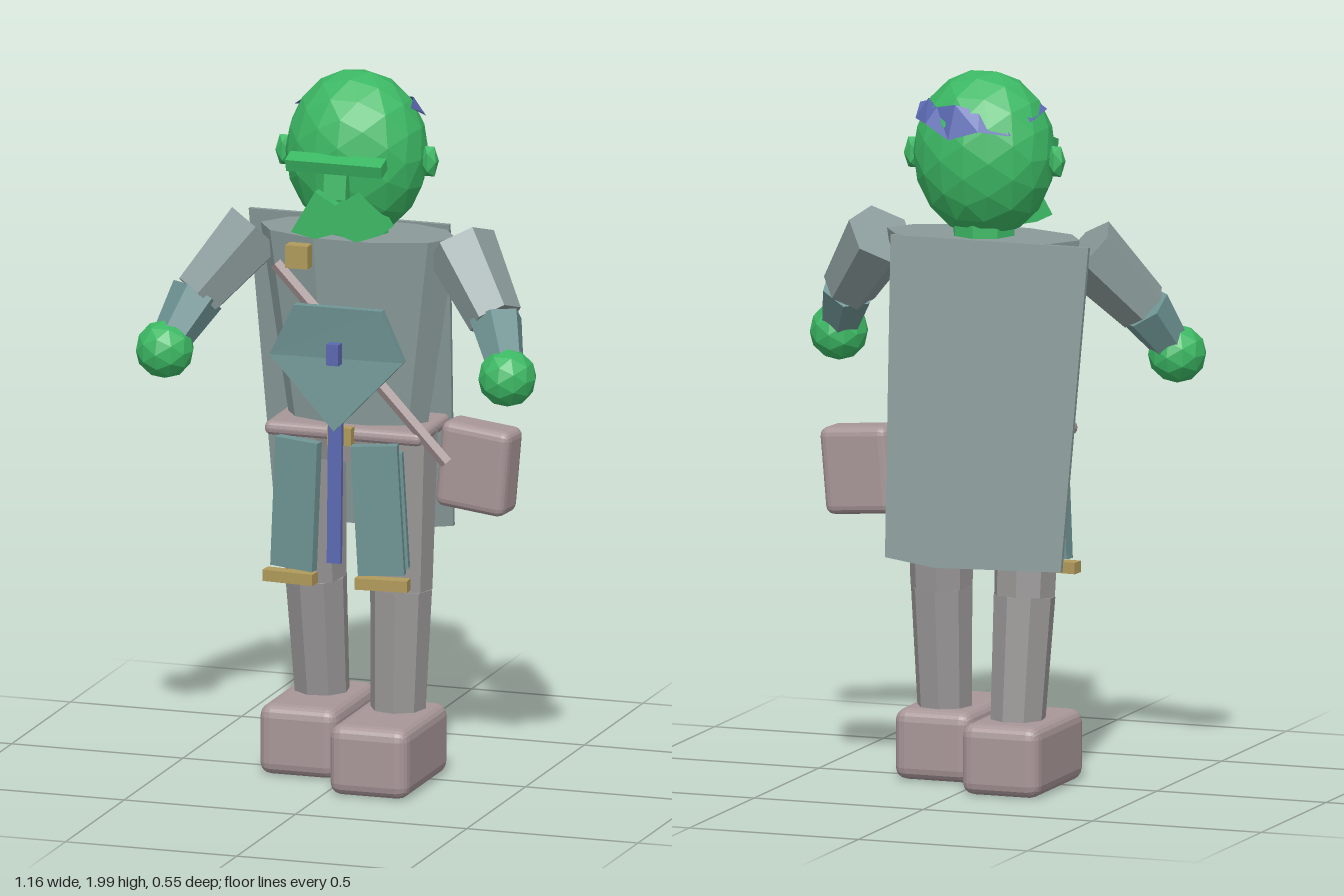
import * as THREE from 'three';
import { RoundedBoxGeometry } from 'three/addons/geometries/RoundedBoxGeometry.js';

const mat = (color) => new THREE.MeshStandardMaterial({ color, flatShading: true, side: THREE.DoubleSide });
const V = (p) => new THREE.Vector3(...p);

export function createModel() {
  const root = new THREE.Group();
  const skin = mat(0x3cb864), cloth = mat(0x8a9a9a), trousers = mat(0x999696), leather = mat(0xa89698);
  const teal = mat(0x6f9494), blue = mat(0x5a68b0), gold = mat(0xb09a5a);

  const add = (name, geo, material, pos = [0, 0, 0], rot = [0, 0, 0]) => {
    const m = new THREE.Mesh(geo, material);
    m.name = name;
    m.position.set(...pos);
    m.rotation.set(...rot);
    root.add(m);
    return m;
  };
  const box = (w, h, d) => new THREE.BoxGeometry(w, h, d);
  const rounded = (w, h, d, r) => new RoundedBoxGeometry(w, h, d, 2, r);
  // Tapered prism running from a to b
  const limb = (name, a, b, ra, rb, sides, material) => {
    const from = V(a), to = V(b), dir = to.clone().sub(from);
    const m = add(name, new THREE.CylinderGeometry(rb, ra, dir.length(), sides), material);
    m.position.copy(from).add(to).multiplyScalar(0.5);
    m.quaternion.setFromUnitVectors(new THREE.Vector3(0, 1, 0), dir.normalize());
    return m;
  };
  const plate = (pts, depth) => new THREE.ExtrudeGeometry(
    new THREE.Shape(pts.map((p) => new THREE.Vector2(...p))), { depth, bevelEnabled: false });
  // Moves each vertex's z by a rule
  const bend = (geo, rule) => {
    const p = geo.attributes.position;
    for (let i = 0; i < p.count; i++) p.setZ(i, p.getZ(i) + rule(p.getX(i), p.getY(i)));
    geo.computeVertexNormals();
    return geo;
  };

  // Head and face
  const head = add('head', new THREE.IcosahedronGeometry(1, 2), skin, [0, 1.765, -0.025]);
  head.scale.set(0.202, 0.235, 0.172);
  add('neck', new THREE.CylinderGeometry(0.09, 0.09, 0.12, 8), skin, [0, 1.55, -0.03]);
  add('brow', box(0.28, 0.035, 0.05), skin, [0, 1.77, 0.153], [0.3, 0, 0]);
  add('nose', box(0.065, 0.09, 0.06), skin, [0, 1.715, 0.135], [-0.15, 0, 0]);
  add('moustache', plate([[-0.13, 1.57], [-0.06, 1.69], [0, 1.655], [0.06, 1.69], [0.13, 1.58],
    [0.06, 1.555], [0, 1.575], [-0.06, 1.555]], 0.12), skin, [0, 0, 0.04]);
  for (const s of [-1, 1]) {
    const ear = add('ear', new THREE.IcosahedronGeometry(1, 0), skin, [s * 0.212, 1.755, -0.025]);
    ear.scale.set(0.026, 0.05, 0.026);
  }

  // Zigzag headband round the back of the head
  const ribbon = [], index = [], n = 7;
  for (let i = 0; i <= n; i++) {
    const t = i / n, a = THREE.MathUtils.lerp(-1.72, 1.6, t);
    const drop = 0.025 + 0.07 * Math.sin(Math.PI * t) * (i % 2 ? 0.6 : 1);
    const x = Math.sin(a), z = -Math.cos(a);
    ribbon.push(0.15 * x + 0.01, 1.92 - (i % 2) * 0.015, -0.02 + 0.14 * z);
    ribbon.push(0.185 * x + 0.01, 1.92 - drop, -0.02 + 0.18 * z);
    if (i < n) index.push(2 * i, 2 * i + 1, 2 * i + 2, 2 * i + 1, 2 * i + 3, 2 * i + 2);
  }
  const band = new THREE.BufferGeometry();
  band.setAttribute('position', new THREE.Float32BufferAttribute(ribbon, 3));
  band.setIndex(index);
  band.computeVertexNormals();
  add('headband', band, blue);

  // Torso and belt
  const torso = add('torso', new THREE.CylinderGeometry(0.285, 0.2, 0.56, 10, 1, false, Math.PI / 2),
    cloth, [0, 1.26, -0.035]);
  torso.scale.z = 0.48;
  const hips = add('hips', new THREE.CylinderGeometry(0.2, 0.17, 0.1, 10, 1, false, Math.PI / 2),
    trousers, [0, 0.95, -0.035]);
  hips.scale.z = 0.55;
  add('belt', rounded(0.46, 0.04, 0.26, 0.018), leather, [0, 0.99, -0.025]);

  // Arms and hands
  for (const s of [-1, 1]) {
    const elbow = [s * 0.435, 1.345, 0.065], hand = [s * 0.5, 1.205, 0.155];
    limb('upperArm', [s * 0.3, 1.52, -0.035], elbow, 0.1, 0.077, 6, cloth);
    limb('forearm', elbow, hand, 0.077, 0.05, 6, teal);
    add('hand', new THREE.IcosahedronGeometry(0.082, 1), skin, hand);
  }

  // Legs in mid-stride, left foot forward
  for (const [s, hipZ, kneeZ, ankleZ, footZ] of [[1, -0.02, 0.0, 0.015, 0.087], [-1, -0.03, -0.075, -0.12, -0.073]]) {
    const knee = [s * 0.137, 0.54, kneeZ];
    limb('thigh', [s * 0.135, 1.0, hipZ], knee, 0.098, 0.087, 8, trousers);
    limb('shin', knee, [s * 0.132, 0.15, ankleZ], 0.087, 0.076, 8, trousers);
    add('shoe', rounded(0.23, 0.2, 0.375, 0.035), leather, [s * 0.13, 0.103, footZ]);
  }

  // Cape leaning away from the back
  add('cape', bend(plate([[-0.36, 1.545], [0.225, 1.545], [0.2, 0.66], [0.055, 0.64], [-0.32, 0.65]], 0.014),
    (x, y) => -0.165 + (y - 1.545) * 0.122), cloth);

  // Chest plate with a small emblem stud
  add('chestPlate', bend(plate([[-0.12, 1.365], [0.135, 1.365], [0.195, 1.22], [0, 1.015], [-0.195, 1.215]], 0.025),
    (x) => 0.15 - 0.6 * x * x), teal);
  add('chestStud', box(0.035, 0.06, 0.03), blue, [0, 1.235, 0.172]);

  // Shoulder strap, buckle and bag
  const strap = limb('strap', [-0.19, 1.465, 0.115], [0.3, 0.93, 0.09], 0.018, 0.018, 4, leather);
  strap.scale.z = 0.7;
  add('buckle', box(0.065, 0.065, 0.04), gold, [-0.125, 1.49, 0.108]);
  add('bag', rounded(0.21, 0.245, 0.11, 0.025), leather, [0.325, 0.875, -0.115], [0, -0.1, -0.09]);

  // Hanging thigh plates, hem bars and centre sash
  for (const s of [-1, 1]) {
    add('thighPlate', box(0.13, 0.37, 0.03), teal, [s * 0.12, 0.795, 0.145], [0.02, s * 0.15, s * 0.05]);
    add('thighPlateLining', box(0.11, 0.33, 0.025), teal, [s * 0.135, 0.79, 0.12], [0.02, s * 0.15, s * 0.05]);
    add('hemBar', box(0.15, 0.032, 0.04), gold, [s * 0.135, 0.587, 0.152], [0, s * 0.08, 0]);
  }
  add('sash', box(0.04, 0.47, 0.015), blue, [0, 0.875, 0.162], [-0.03, 0, 0]);
  add('beltClasp', box(0.07, 0.05, 0.03), gold, [0, 0.99, 0.115]);

  return root;
}
